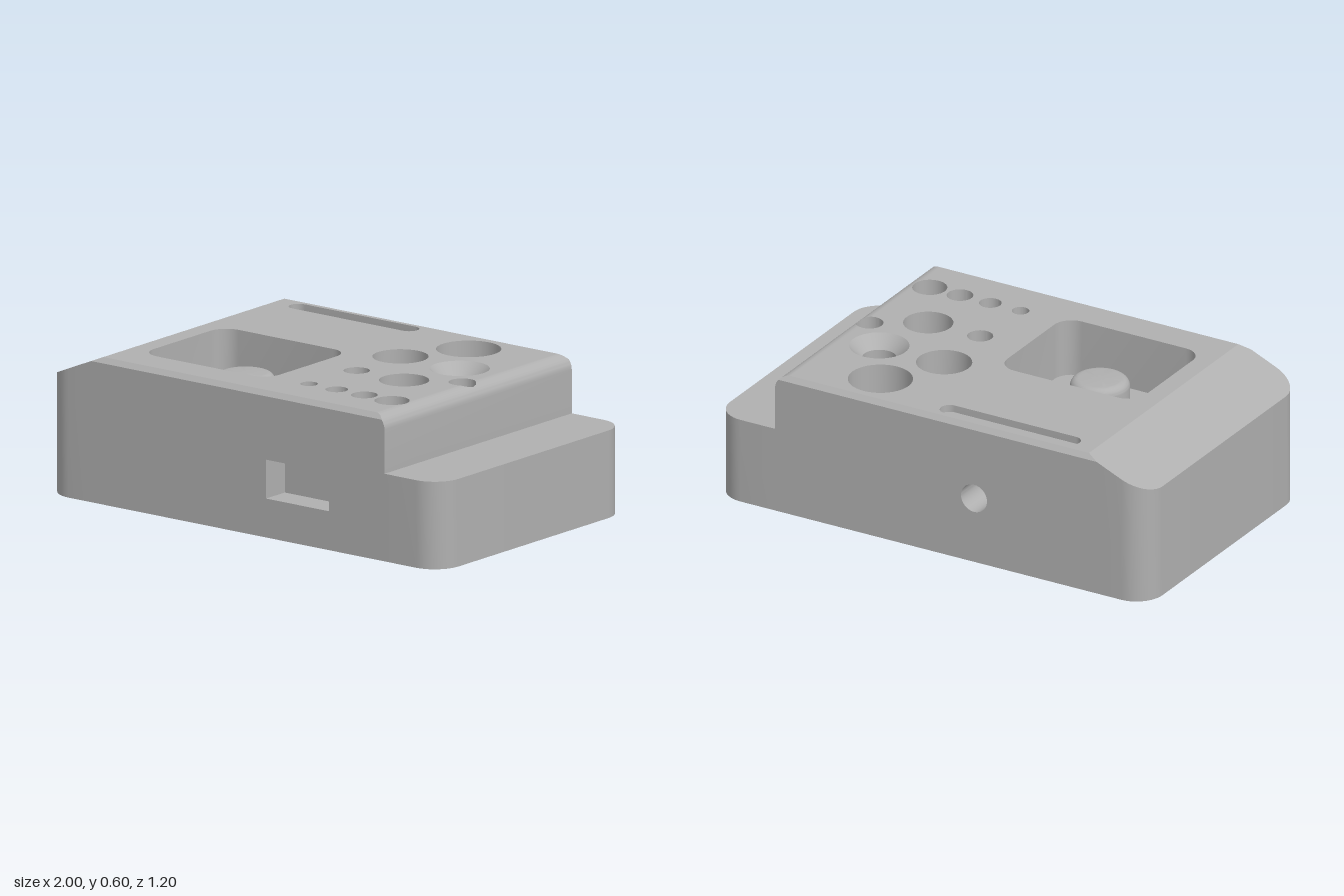
import * as THREE from 'three';
import { mergeGeometries, toCreasedNormals } from 'three/addons/utils/BufferGeometryUtils.js';

const V3 = (x, y, z) => new THREE.Vector3(x, y, z);
const V2 = (x, y) => new THREE.Vector2(x, y);
const root = v => Math.sqrt(Math.max(0, v));

// Block dimensions
const FLOOR = 0.36, BEND = -0.72, FILLET = 0.66, WALL = 0.72, RF = 0.06;

// Height of the top surface: slope, flat deck, rounded edge
function topY(x) {
  if (x < BEND) return 0.6 + (x - BEND) * 0.12 / 0.28;
  if (x <= FILLET) return 0.6;
  return 0.6 - RF + root(RF * RF - (x - FILLET) ** 2);
}
// Half depth of the plan outline (rounded corners) and of the chamfered top
const zOut = x => 0.48 + root(0.0144 - Math.max(0, Math.abs(x) - 0.88) ** 2);
const zTop = x => Math.min(zOut(x), 1.18 - topY(x));
const sideY = x => Math.min(topY(x), 0.58);

// Skin between successive rows of points
function loft(rows) {
  const p = [];
  for (let i = 0; i + 1 < rows.length; i++) {
    for (let j = 0; j + 1 < rows[i].length; j++) {
      const a = rows[i][j], b = rows[i][j + 1], c = rows[i + 1][j + 1], d = rows[i + 1][j];
      for (const v of [a, b, c, a, c, d]) p.push(v.x, v.y, v.z);
    }
  }
  return new THREE.BufferGeometry().setAttribute('position', new THREE.Float32BufferAttribute(p, 3));
}

// Plan outlines, counter-clockwise from above, as (x, z) points
function arc(x, z, r, a0, a1, n) {
  return Array.from({ length: n + 1 }, (_, i) => {
    const a = a0 + (a1 - a0) * i / n;
    return V2(x + r * Math.cos(a), z - r * Math.sin(a));
  });
}
const circle = (x, z, r) => arc(x, z, r, 0, Math.PI * 2, 40);
function roundRect(x0, x1, z0, z1, r) {
  const q = Math.PI / 2;
  const pts = [[x1 - r, z0 + r], [x0 + r, z0 + r], [x0 + r, z1 - r], [x1 - r, z1 - r]]
    .flatMap(([x, z], i) => arc(x, z, r, i * q, (i + 1) * q, 8));
  return [...pts, pts[0].clone()];
}

// Horizontal face with holes, looking up or down
function face(outline, holes, y, up = true) {
  const flip = pts => pts.map(p => V2(p.x, up ? -p.y : p.y));
  const shape = new THREE.Shape(flip(outline));
  shape.holes = holes.map(h => new THREE.Path(flip(h)));
  return new THREE.ShapeGeometry(shape).rotateX(up ? -Math.PI / 2 : Math.PI / 2).translate(0, y, 0);
}
// Inward-facing wall of a vertical cut
const wall = (pts, yTop, yLow) => loft([yTop, yLow].map(y => pts.map(p => V3(p.x, y, p.y))));
// Round hole or boss from [radius, y] steps, trimmed by the top surface
const turned = (x, z, steps) => loft(steps.map(([r, y]) =>
  circle(x, z, r).map(p => V3(p.x, Math.min(y, topY(p.x)), p.y))));

// Cut into the front face from (x, y) points
function sideCut(pts, depth) {
  return [
    loft([0.6, 0.6 - depth].map(z => pts.map(p => V3(p.x, p.y, z)))),
    new THREE.ShapeGeometry(new THREE.Shape(pts)).translate(0, 0, 0.6 - depth),
  ];
}

export function createModel() {
  const group = new THREE.Group();
  const grey = new THREE.MeshStandardMaterial({ color: 0xb0b0b0 });
  function add(name, parts) {
    const clean = parts.map(g => {
      const n = g.index ? g.toNonIndexed() : g;
      n.deleteAttribute('uv');
      n.deleteAttribute('normal');
      return n;
    });
    const mesh = new THREE.Mesh(toCreasedNormals(mergeGeometries(clean), 0.3), grey);
    mesh.name = name;
    group.add(mesh);
  }

  // Vertical holes: x, z, then [radius, y] steps from the top down
  const through = r => [[r, 0.6], [r, 0]];
  const holes = [
    ['largeHole', 0.34, -0.42, through(0.13)],
    ['counterboredHole', 0.2, -0.16, [[0.112, 0.6], [0.112, 0.4], [0.068, 0.4], [0.068, 0]]],
    ['countersunkHole', 0.5, -0.16, [[0.12, 0.6], [0.068, 0.548], [0.068, 0]]],
    ['edgeHole', 0.64, 0, [[0.055, 0.6], [0.055, 0.08], [0.1, 0.08], [0.1, 0]]],
    ['drilledHole', 0.2, 0.12, [[0.052, 0.6], [0.052, 0.4], [0, 0.37]]],
    ['blindHole', 0.44, 0.12, [[0.1, 0.6], [0.1, 0.4], [0, 0.4]]],
    ['rowHole1', 0.18, 0.4, through(0.035)],
    ['rowHole2', 0.32, 0.4, through(0.045)],
    ['rowHole3', 0.46, 0.4, through(0.053)],
    ['rowHole4', 0.6, 0.4, through(0.07)],
  ];
  for (const [name, x, z, steps] of holes) add(name, [turned(x, z, steps)]);

  // Pockets and slot
  const pocket = roundRect(-0.64, 0, -0.085, 0.44, 0.08);
  const underPocket = roundRect(-0.59, -0.05, -0.035, 0.39, 0.05);
  const slot = roundRect(-0.64, 0, -0.56, -0.48, 0.04);
  add('topPocket', [wall(pocket, 0.6, FLOOR), face(pocket, [], FLOOR)]);
  add('bottomPocket', [wall(underPocket, 0.15, 0), face(underPocket, [], 0.15, false)]);
  add('slot', [wall(slot, 0.6, 0.57), face(slot, [], 0.57)]);

  // Boss with rounded rim
  const rim = Array.from({ length: 9 }, (_, i) => {
    const a = i * Math.PI / 16;
    return [0.085 + 0.035 * Math.cos(a), 0.485 + 0.035 * Math.sin(a)];
  });
  add('boss', [turned(-0.32, 0.177, [[0.12, FLOOR], ...rim, [0, 0.52]])]);

  // Front window and back bore
  const windowPts = [V2(0.12, 0.16), V2(0.44, 0.16), V2(0.44, 0.32), V2(0.12, 0.32), V2(0.12, 0.16)];
  const borePts = circle(0.2, -0.28, 0.06).map(p => V2(p.x, -p.y));
  add('frontWindow', sideCut(windowPts, 0.12));
  add('backBore', sideCut(borePts, 0.3).map(g => g.rotateY(Math.PI)));

  // Stations along x
  const corner = Array.from({ length: 11 }, (_, i) => 1 - 0.12 * (1 - Math.cos(i * Math.PI / 20)));
  const fillet = Array.from({ length: 13 }, (_, i) => FILLET + RF * Math.sin(i * Math.PI / 24));
  fillet.push(0.67, 0.695, FILLET + root(0.002));
  fillet.sort((a, b) => a - b);

  // Sloped end and low step, each a loft of full cross-sections
  const section = (x, ys, yt, zt) => {
    const z = zOut(x);
    return [V3(x, 0, -z), V3(x, ys, -z), V3(x, yt, -zt), V3(x, yt, zt), V3(x, ys, z), V3(x, 0, z)];
  };
  const slopeX = [...corner.map(x => -x), BEND - 0.02 * 0.28 / 0.12, BEND];
  const stepX = [WALL, ...corner.slice().reverse()];
  add('slopedEnd', [
    loft(slopeX.map(x => section(x, sideY(x), topY(x), zTop(x)))),
    new THREE.PlaneGeometry(0.96, 0.48).rotateY(-Math.PI / 2).translate(-1, 0.24, 0),
  ]);
  add('step', [
    loft(stepX.map(x => section(x, FLOOR, FLOOR, zOut(x)))),
    new THREE.PlaneGeometry(0.96, FLOOR).rotateY(Math.PI / 2).translate(1, FLOOR / 2, 0),
  ]);

  // Deck: flat top notched by the two holes that reach the rounded edge
  const notch = (x, z, r) => {
    const a = Math.acos((FILLET - x) / r);
    return arc(x, z, r, -a, a - Math.PI * 2, 32);
  };
  const deck = [V2(BEND, 0.58), V2(FILLET, 0.58), ...notch(0.6, 0.4, 0.07),
    ...notch(0.64, 0, 0.055), V2(FILLET, -0.58), V2(BEND, -0.58)];
  const inner = holes.filter(([, x, , s]) => x + s[0][0] < FILLET).map(([, x, z, s]) => circle(x, z, s[0][0]));
  const parts = [face(deck, [...inner, pocket, slot], 0.6)];

  // Rounded edge in bands between those holes, and the wall below it
  const edges = x => {
    const w1 = root(0.055 ** 2 - (x - 0.64) ** 2), w2 = root(0.07 ** 2 - (x - 0.6) ** 2);
    return [-zTop(x), -w1, w1, 0.4 - w2, 0.4 + w2, zTop(x)];
  };
  for (const k of [0, 2, 4]) {
    parts.push(loft(fillet.map(x => edges(x).slice(k, k + 2).map(z => V3(x, topY(x), z)))));
  }
  parts.push(new THREE.PlaneGeometry(1.2, 0.18).rotateY(Math.PI / 2).translate(WALL, 0.45, 0));

  // Long chamfers
  const run = [BEND, ...fillet];
  parts.push(loft(run.map(x => [V3(x, topY(x), zTop(x)), V3(x, sideY(x), 0.6)])));
  parts.push(loft(run.map(x => [V3(x, sideY(x), -0.6), V3(x, topY(x), -zTop(x))])));
  add('deck', parts);

  // Front and back walls
  for (const [name, sign, cut] of [['frontWall', 1, windowPts], ['backWall', -1, borePts]]) {
    const rimPts = fillet.slice().reverse().map(x => V2(sign * x, sideY(x)));
    const shape = new THREE.Shape([V2(sign * BEND, 0), V2(sign * WALL, 0), ...rimPts, V2(sign * BEND, 0.58)]);
    shape.holes = [new THREE.Path(cut)];
    const g = new THREE.ShapeGeometry(shape).translate(0, 0, 0.6);
    add(name, [sign < 0 ? g.rotateY(Math.PI) : g]);
  }

  // Underside
  const lower = holes.map(([, x, z, s]) => [x, z, s[s.length - 1]]).filter(([, , s]) => s[1] === 0);
  add('underside', [face(roundRect(-1, 1, -0.6, 0.6, 0.12),
    [...lower.map(([x, z, s]) => circle(x, z, s[0])), underPocket], 0, false)]);

  return group;
}
